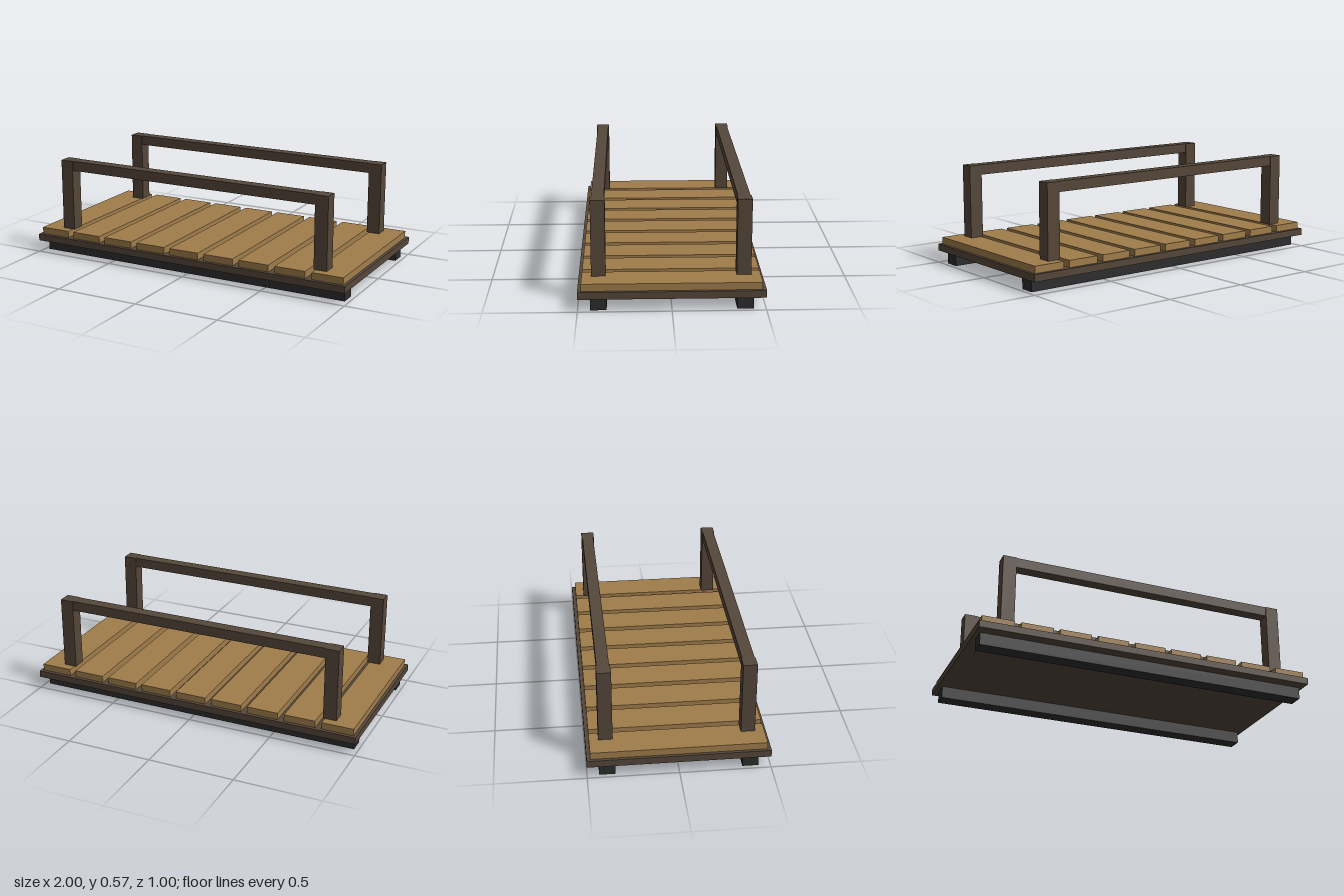
import * as THREE from 'three';

export function createModel() {
  const model = new THREE.Group();
  model.name = 'slattedPlatform';

  const plankWood = new THREE.MeshStandardMaterial({ color: 0xa07d4b });
  const darkWood = new THREE.MeshStandardMaterial({ color: 0x55473a });
  const black = new THREE.MeshStandardMaterial({ color: 0x2d2d2d });

  // Box with its underside at height y
  function addBox(parent, name, material, [w, h, d], [x, y, z]) {
    const mesh = new THREE.Mesh(new THREE.BoxGeometry(w, h, d), material);
    mesh.name = name;
    mesh.position.set(x, y + h / 2, z);
    parent.add(mesh);
  }

  // Base board
  addBox(model, 'baseBoard', darkWood, [2, 0.04, 1], [0, 0.07, 0]);

  // Nine cross planks
  const planks = new THREE.Group();
  planks.name = 'planks';
  for (let i = 0; i < 9; i++) {
    addBox(planks, 'plank', plankWood, [0.185, 0.04, 0.96], [(i - 4) * 0.2225, 0.11, 0]);
  }
  model.add(planks);

  // Runner and handrail along each long side
  for (const side of [1, -1]) {
    const prefix = side > 0 ? 'front' : 'back';
    addBox(model, prefix + 'Runner', black, [1.95, 0.07, 0.088], [0, 0, side * 0.39]);

    const handrail = new THREE.Group();
    handrail.name = prefix + 'Handrail';
    for (const x of [0.825, -0.825]) {
      addBox(handrail, x > 0 ? 'leftPost' : 'rightPost', darkWood, [0.078, 0.422, 0.078], [x, 0.15, side * 0.39]);
    }
    addBox(handrail, 'topRail', darkWood, [1.572, 0.058, 0.068], [0, 0.514, side * 0.39]);
    model.add(handrail);
  }

  return model;
}
